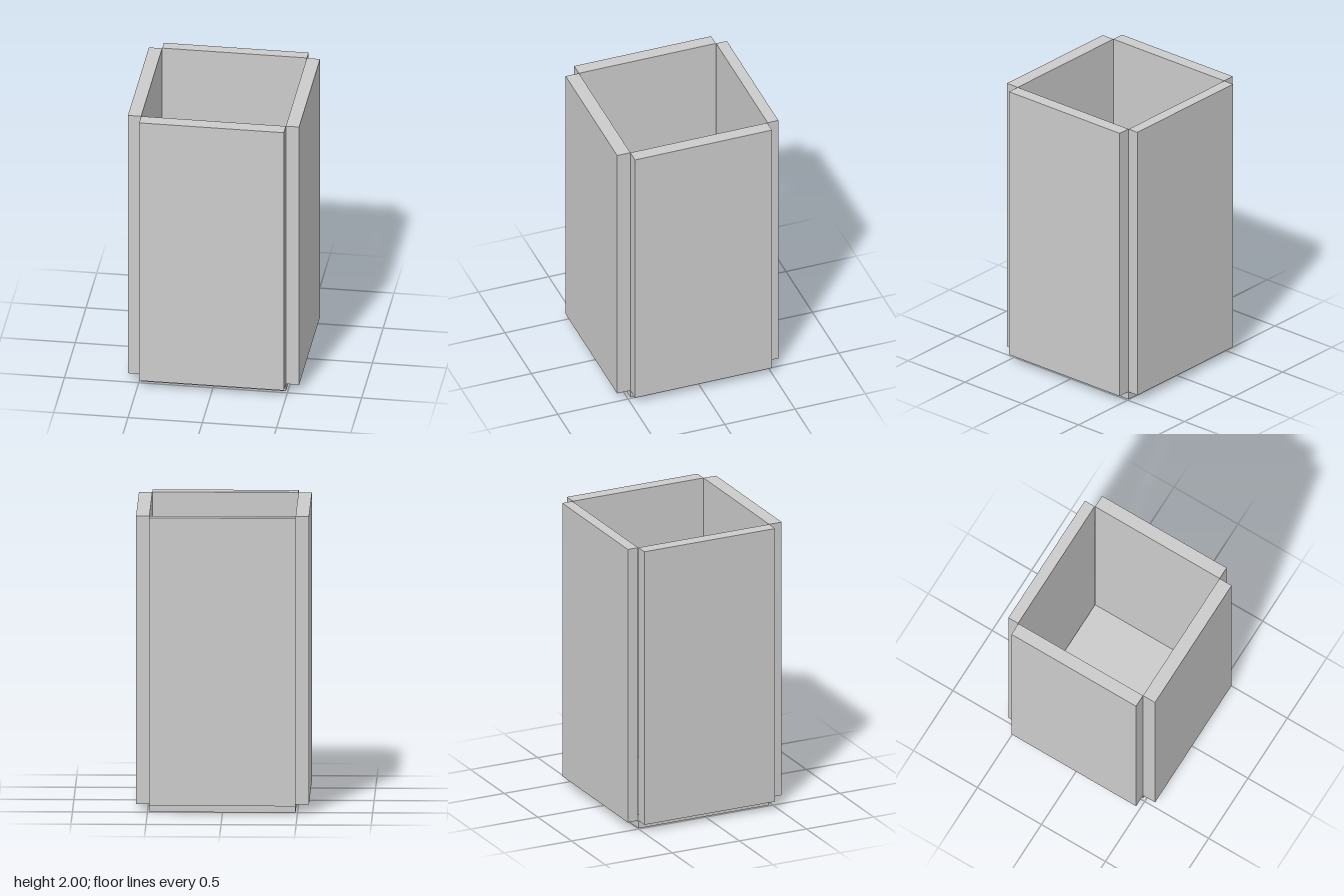
import * as THREE from 'three';

export function createModel() {
  const group = new THREE.Group();
  const material = new THREE.MeshStandardMaterial({ color: 0xcccccc, flatShading: true });

  // Box panel given by its extents on each axis
  function panel(name, [x0, x1], [y0, y1], [z0, z1]) {
    const mesh = new THREE.Mesh(new THREE.BoxGeometry(x1 - x0, y1 - y0, z1 - z0), material);
    mesh.position.set((x0 + x1) / 2, (y0 + y1) / 2, (z0 + z1) / 2);
    mesh.name = name;
    group.add(mesh);
  }

  const inner = 0.487, outer = 0.576;
  const height = [0.055, 2];
  const depth = [-0.495, 0.479];

  // Side walls
  panel('leftWall', [inner, outer], height, depth);
  panel('rightWall', [-outer, -inner], height, depth);

  // Front and back walls, leaving the four corners notched
  panel('frontWall', [-inner, inner], height, [0.479, 0.573]);
  panel('backWall', [-inner, inner], height, [-0.574, -0.498]);

  // Floor set between the walls and showing below them
  panel('floor', [-inner, inner], [0, 0.09], depth);

  return group;
}
